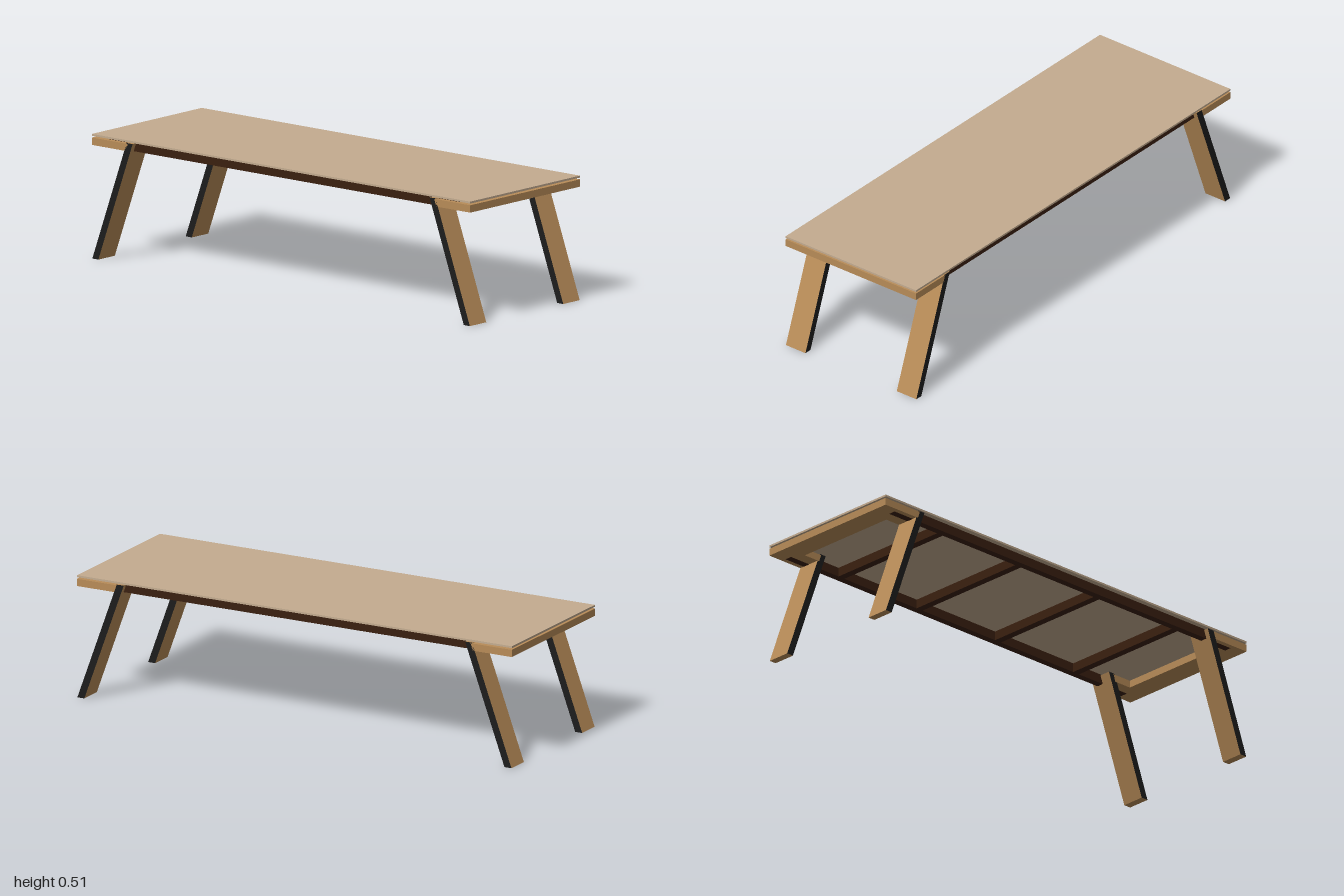
import * as THREE from 'three';

const paint = (color) => new THREE.MeshStandardMaterial({ color });

export function createModel() {
  const table = new THREE.Group();
  const topMat = paint(0xc4ac90);
  const wood = paint(0xb88c58);
  const brown = paint(0x3a2010);
  const black = paint(0x1c1c1c);

  // Box given by its min and max corners
  const box = (name, mat, [x0, y0, z0], [x1, y1, z1]) => {
    const mesh = new THREE.Mesh(new THREE.BoxGeometry(x1 - x0, y1 - y0, z1 - z0), mat);
    mesh.position.set((x0 + x1) / 2, (y0 + y1) / 2, (z0 + z1) / 2);
    mesh.name = name;
    table.add(mesh);
  };

  // Extruded side outline, starting at z0; flat caps and swept sides may differ in colour
  const slab = (name, mats, points, z0, depth) => {
    const shape = new THREE.Shape(points.map(([x, y]) => new THREE.Vector2(x, y)));
    const geo = new THREE.ExtrudeGeometry(shape, { depth, bevelEnabled: false });
    const mesh = new THREE.Mesh(geo, mats);
    mesh.position.z = z0;
    mesh.name = name;
    table.add(mesh);
  };

  const W = 0.334; // half depth
  const B = 0.1; // board width

  // Thin table top
  box('tableTop', topMat, [-1, 0.5, -W], [1, 0.508, W]);

  // Dark under-frame: two long rails and four cross bars
  for (const s of [-1, 1]) {
    box('longRail', brown, [-0.93, 0.462, s * 0.298 - 0.015], [0.93, 0.5, s * 0.298 + 0.015]);
  }
  for (const x of [-0.65, -0.217, 0.217, 0.65]) {
    box('crossBar', brown, [x - 0.016, 0.462, -0.283], [x + 0.016, 0.5, 0.283]);
  }

  for (const sx of [-1, 1]) {
    // Wooden end board with a short return along each long side
    box('endBoard', wood, [sx * 0.95 - 0.05, 0.463, -W], [sx * 0.95 + 0.05, 0.493, W]);
    for (const sz of [-1, 1]) {
      const z0 = sz > 0 ? W - B : -W;
      const mirror = (pts) => pts.map(([x, y]) => [sx * x, y]);
      slab('sideReturn', wood,
        mirror([[0.82, 0.463], [0.9, 0.463], [0.9, 0.493], [0.81, 0.493]]), z0, B);

      // Splayed leg: black edges, wooden broad faces
      slab('leg', [black, wood],
        mirror([[0.966, 0], [0.998, 0], [0.817, 0.496], [0.785, 0.496]]), z0, B);
    }
  }
  return table;
}
